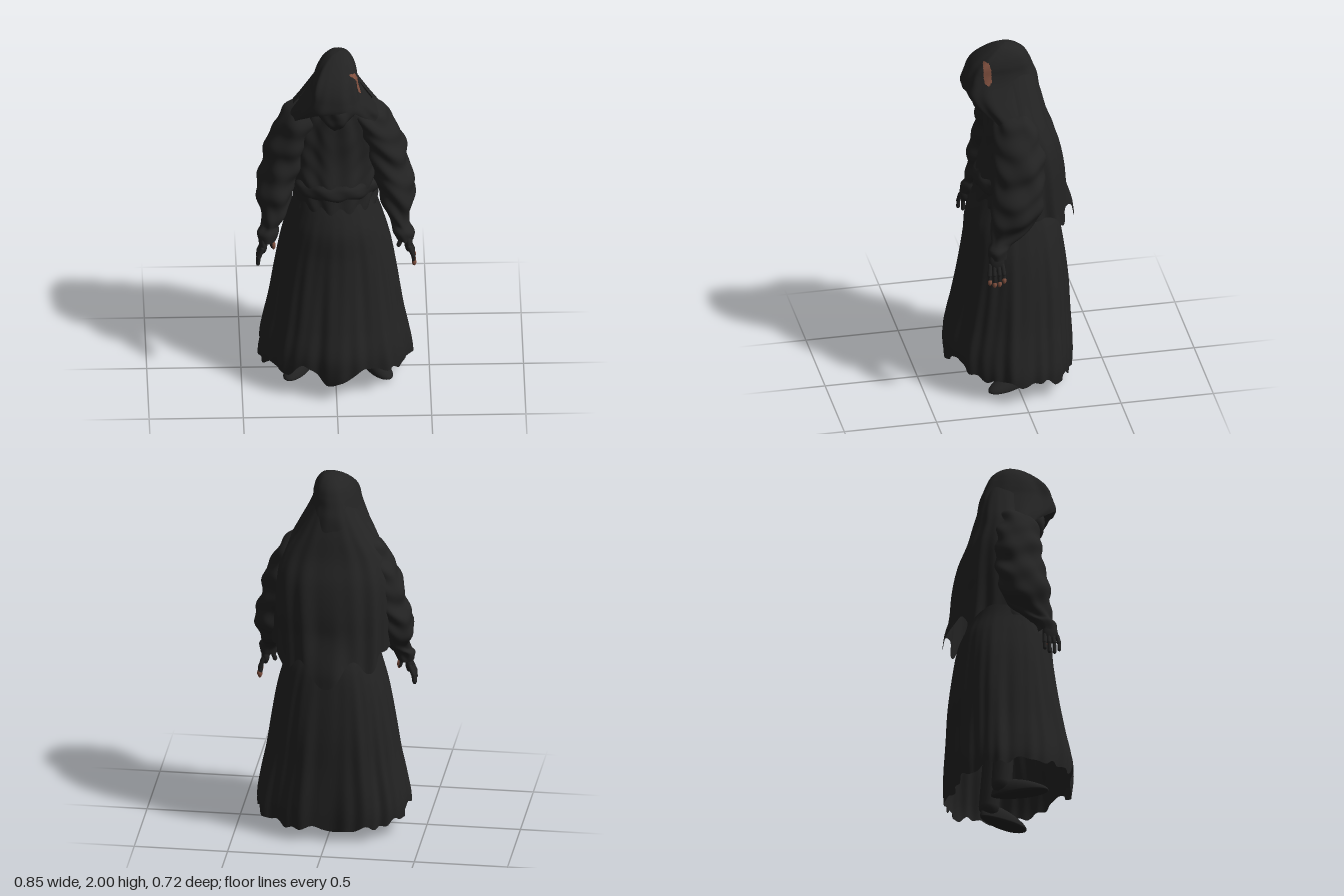
import * as THREE from 'three';

const { sin, cos, abs, sign, pow, exp, PI } = Math;
const { clamp, lerp, smoothstep } = THREE.MathUtils;
const gauss = (v, c, w) => exp(-(((v - c) / w) ** 2));

const cloth = new THREE.MeshStandardMaterial({ color: 0x232323, side: THREE.DoubleSide });
cloth.name = 'black cloth';
const skin = new THREE.MeshStandardMaterial({ color: 0x222222 });
skin.name = 'dark skin';
const rust = new THREE.MeshStandardMaterial({ color: 0x80503f, side: THREE.DoubleSide });
rust.name = 'rust brown';

// Cross-section at height y, smoothly interpolated. Section: [y, cx, cz, halfWidth, front, back]
function sectionAt(secs, y) {
  let i = 0;
  while (i < secs.length - 2 && y < secs[i + 1][0]) i++;
  const at = (k) => secs[clamp(k, 0, secs.length - 1)];
  const a = at(i - 1), b = at(i), c = at(i + 1), d = at(i + 2);
  const span = b[0] - c[0], u = clamp((b[0] - y) / span, 0, 1);
  const u2 = u * u, u3 = u2 * u;
  return b.map((_, k) => {
    const m0 = (c[k] - a[k]) / (a[0] - c[0]) * span, m1 = (d[k] - b[k]) / (b[0] - d[0]) * span;
    return (2 * u3 - 3 * u2 + 1) * b[k] + (u3 - 2 * u2 + u) * m0 + (3 * u2 - 2 * u3) * c[k] + (u3 - u2) * m1;
  });
}

// Cloth surface around the y axis; angle 0 faces the front. hem may vary with the angle,
// frontPower and backPower square off the outline, and faces where patch(x, y, z) holds are rust.
function drape(name, secs, o = {}) {
  const { n = 120, rows = 60, from = 0, to = 2 * PI, frontPower = 2, backPower = 2, side = 1 } = o;
  const { fold = () => 0, patch = () => false } = o;
  const top = secs[0][0], hem = o.hem ?? (() => secs[secs.length - 1][0]);
  const cols = to - from > 6.28 ? n : n + 1;
  const pos = [], plain = [], patched = [];
  for (let j = 0; j <= rows; j++) {
    for (let i = 0; i < cols; i++) {
      const a = from + (to - from) * i / n;
      const y = lerp(top, hem(a), j / rows);
      const [, cx, cz, rx, zf, zb] = sectionAt(secs, y);
      const s = sin(a), c = cos(a), f = fold(a, y), e = 2 / (c > 0 ? frontPower : backPower);
      pos.push(side * cx + sign(s) * pow(abs(s), e) * rx + s * f, y,
        cz + sign(c) * pow(abs(c), e) * (c > 0 ? zf : zb) + c * f);
    }
  }
  for (let j = 0; j < rows; j++) {
    for (let i = 0; i < n; i++) {
      const p = j * cols + i, q = j * cols + (i + 1) % cols;
      const list = patch(...pos.slice(p * 3, p * 3 + 3)) ? patched : plain;
      list.push(p, p + cols, q, q, p + cols, q + cols);
    }
  }
  const g = new THREE.BufferGeometry();
  g.setAttribute('position', new THREE.Float32BufferAttribute(pos, 3));
  g.setIndex([...plain, ...patched]);
  g.addGroup(0, plain.length, 0);
  if (patched.length) g.addGroup(plain.length, patched.length, 1);
  g.computeVertexNormals();
  const m = new THREE.Mesh(g, [cloth, rust]);
  m.name = name;
  return m;
}

// Rounded rod between two points
function rod(name, a, b, r, material) {
  const p = new THREE.Vector3(...a), q = new THREE.Vector3(...b);
  const m = new THREE.Mesh(new THREE.CapsuleGeometry(r, p.distanceTo(q), 4, 10), material);
  m.position.copy(p).add(q).multiplyScalar(0.5);
  m.quaternion.setFromUnitVectors(new THREE.Vector3(0, 1, 0), q.sub(p).normalize());
  m.name = name;
  return m;
}

function ball(name, pos, scale, material) {
  const m = new THREE.Mesh(new THREE.SphereGeometry(1, 20, 14), material);
  m.position.set(...pos);
  m.scale.set(...scale);
  m.name = name;
  return m;
}

const skirtSecs = [
  [1.14, 0, 0, 0.21, 0.17, 0.19], [1.05, 0, 0, 0.225, 0.21, 0.21], [0.95, 0, 0, 0.255, 0.24, 0.25],
  [0.8, 0, 0, 0.295, 0.25, 0.275], [0.6, 0, 0, 0.33, 0.278, 0.295], [0.4, 0, 0, 0.36, 0.318, 0.3],
  [0.25, 0, 0, 0.39, 0.352, 0.305], [0.15, 0, 0, 0.405, 0.35, 0.305], [0.06, 0, 0, 0.4, 0.335, 0.3]];
const torsoSecs = [
  [1.72, 0, 0, 0.1, 0.1, 0.12], [1.64, 0, 0, 0.18, 0.12, 0.15], [1.5, 0, -0.01, 0.25, 0.14, 0.18],
  [1.35, 0, -0.01, 0.26, 0.15, 0.2], [1.22, 0, -0.01, 0.245, 0.185, 0.21], [1.12, 0, 0, 0.225, 0.19, 0.2],
  [1.04, 0, 0, 0.22, 0.2, 0.2]];
const sashSecs = [
  [1.235, 0, -0.01, 0.23, 0.18, 0.19], [1.21, 0, -0.01, 0.245, 0.198, 0.21], [1.165, 0, -0.01, 0.24, 0.202, 0.21],
  [1.13, 0, -0.01, 0.215, 0.182, 0.19]];
const hoodSecs = [
  [2.0, 0.02, 0.03, 0.002, 0.002, 0.002], [1.99, 0.018, 0.03, 0.042, 0.045, 0.05], [1.95, 0.012, 0.045, 0.083, 0.095, 0.12],
  [1.9, 0.006, 0.07, 0.108, 0.125, 0.175], [1.85, 0, 0.085, 0.12, 0.145, 0.21], [1.8, 0, 0.09, 0.135, 0.16, 0.235],
  [1.74, 0, 0.08, 0.165, 0.18, 0.235], [1.68, 0, 0.06, 0.2, 0.165, 0.22], [1.62, 0, 0.03, 0.235, 0.14, 0.2],
  [1.54, 0, 0, 0.27, 0.13, 0.19]];
const faceWrapSecs = [
  [1.8, 0, 0.05, 0.06, 0.1, 0.08], [1.73, 0, 0.05, 0.1, 0.15, 0.1], [1.67, 0, 0.05, 0.115, 0.155, 0.1],
  [1.62, 0, 0.05, 0.08, 0.145, 0.1], [1.57, 0, 0.04, 0.04, 0.1, 0.08]];
const capeSecs = [
  [1.86, 0, 0.02, 0.09, 0.1, 0.13], [1.7, 0, 0, 0.19, 0.1, 0.162], [1.58, 0, -0.01, 0.27, 0.1, 0.182],
  [1.45, 0, -0.02, 0.31, 0.1, 0.22], [1.3, 0, -0.02, 0.318, 0.1, 0.25], [1.15, 0, -0.02, 0.315, 0.1, 0.262],
  [1.03, 0, -0.02, 0.31, 0.1, 0.275], [0.89, 0, -0.02, 0.31, 0.1, 0.295]];
const sleeveSecs = [
  [1.67, 0.14, -0.02, 0.05, 0.06, 0.05], [1.62, 0.17, -0.02, 0.1, 0.125, 0.08], [1.54, 0.2, -0.02, 0.11, 0.15, 0.1],
  [1.42, 0.252, -0.02, 0.115, 0.155, 0.115], [1.29, 0.278, -0.01, 0.11, 0.15, 0.12], [1.19, 0.315, 0.01, 0.105, 0.15, 0.125],
  [1.1, 0.326, 0.04, 0.092, 0.125, 0.13], [1.03, 0.33, 0.07, 0.068, 0.095, 0.11], [0.97, 0.345, 0.115, 0.046, 0.055, 0.07],
  [0.94, 0.36, 0.135, 0.056, 0.055, 0.055], [0.89, 0.368, 0.14, 0.045, 0.048, 0.045]];

export function createModel() {
  const model = new THREE.Group();
  model.name = 'hoodedFigure';

  // Robe skirt with deepening folds and a ragged hem
  model.add(drape('skirt', skirtSecs, {
    n: 200, rows: 50, frontPower: 2.05, backPower: 2.55,
    fold: (a, y) => (1.1 - y) * (0.009 * sin(9 * a + 1) + 0.005 * sin(17 * a + 2 + y * 2) + 0.004 * sin(29 * a - y * 3)),
    hem: (a) => 0.115 + 0.03 * cos(a) - 0.02 * gauss(a, PI, 1) - 0.05 * gauss(abs(a - PI), PI, 0.2)
      + 0.055 * gauss(abs(a - PI), PI - 0.42, 0.15) + 0.012 * sin(11 * a) + 0.008 * sin(23 * a + 1),
  }));

  // Tunic with slanting chest creases, and the gathered sash
  model.add(drape('tunic', torsoSecs, {
    n: 120, rows: 70,
    fold: (a, y) => 0.005 * sin(50 * (y - 0.3 * abs(sin(a))) + 2 * sin(3 * a)) * abs(sin(a)) + 0.005 * sin(13 * a + 3 * y),
  }));
  model.add(drape('sash', sashSecs, { rows: 14, fold: (a, y) => 0.004 * sin(10 * a + 40 * y) }));

  // Deep hood with a ridge over each temple and a rust patch behind the left one
  model.add(drape('hood', hoodSecs, {
    n: 180, rows: 100, frontPower: 2.6, backPower: 2.1,
    fold: (a, y) => (2 - y) * (0.012 * sin(6 * a + 1 + 6 * y) + 0.008 * sin(11 * a))
      + 0.018 * gauss(abs(a - PI), PI - 0.85, 0.22) * gauss(y, 1.86, 0.09),
    hem: (a) => {
      const d = PI - abs(a - PI);
      return 1.57 + 0.175 * (1 - smoothstep(d, 0.35, 1.3)) + 0.012 * sin(5 * a);
    },
    patch: (x, y, z) => x > 0 && ((z - 0.145) / 0.02) ** 2 + ((y - 1.87) / 0.062) ** 4 < 1,
  }));

  // Face wrap hanging to a point under the hood
  model.add(drape('faceWrap', faceWrapSecs, {
    n: 80, rows: 30, fold: (a, y) => 0.005 * sin(7 * a + 30 * y),
  }));

  // Back cape over the shoulders, with a long middle tail and a point at each corner
  model.add(drape('cape', capeSecs, {
    n: 120, rows: 60, from: 0.5 * PI, to: 1.5 * PI, backPower: 2.5,
    fold: (a, y) => (1.85 - y) * (0.008 * sin(11 * a + 2) + 0.007 * sin(17 * a + 3 * y))
      + 0.045 * gauss(a, PI, 0.24) * smoothstep(1.2 - y, 0, 0.25),
    hem: (a) => 1.055 - 0.155 * gauss(a, PI, 0.22) - 0.095 * gauss(abs(a - PI), 0.72, 0.22),
  }));

  for (const side of [1, -1]) {
    const prefix = side > 0 ? 'left' : 'right';

    // Baggy wrinkled sleeve
    model.add(drape(prefix + 'Sleeve', sleeveSecs, {
      n: 64, rows: 80, side,
      fold: (a, y) => (y > 0.96 ? 1 : 0.4)
        * (0.006 * sin(45 * y + side * 2.5 * sin(a) + 1.5 * sin(2 * a)) + 0.004 * sin(5 * a + 22 * y)),
    }));

    // Hand with four fingers and a thumb; some tips are rust
    const hand = new THREE.Group();
    hand.name = prefix + 'Hand';
    hand.add(ball('palm', [side * 0.385, 0.875, 0.15], [0.022, 0.06, 0.042], skin));
    [0.115, 0.14, 0.167, 0.193].forEach((z, i) => {
      const low = [0.775, 0.757, 0.755, 0.772][i], zm = 0.15 + (z - 0.15) * 0.85;
      hand.add(rod('finger', [side * 0.39, 0.86, zm], [side * 0.41, 0.81, z], 0.0115, skin));
      hand.add(rod('fingerEnd', [side * 0.41, 0.81, z], [side * 0.414, low, z], 0.01, skin));
      if (side > 0) hand.add(ball('fingertip', [0.415, low - 0.001, z], [0.0115, 0.02, 0.0115], rust));
    });
    hand.add(rod('thumb', [side * 0.36, 0.92, 0.14], [side * 0.334, 0.85, 0.145], 0.012, skin));
    if (side < 0) hand.add(ball('thumbTip', [-0.331, 0.858, 0.146], [0.0115, 0.025, 0.0125], rust));
    model.add(hand);

    // Leg and out-turned foot, flat underneath and lower at the toes
    const leg = rod(prefix + 'Leg', [side * 0.15, 0.08, -0.06], [side * 0.13, 0.5, -0.03], 0.055, skin);
    const g = new THREE.SphereGeometry(1, 28, 20), p = g.attributes.position;
    for (let i = 0; i < p.count; i++) {
      const x = p.getX(i), y = p.getY(i), z = p.getZ(i);
      p.setXYZ(i, x * (0.056 + 0.01 * z), 0.02 + y * (y > 0 ? 0.075 - 0.035 * z : 0.02), z * 0.158);
    }
    g.computeVertexNormals();
    const foot = new THREE.Mesh(g, skin);
    foot.name = prefix + 'Foot';
    foot.position.set(side > 0 ? 0.21 : -0.185, 0, 0.03);
    foot.rotation.y = side * 0.5;
    model.add(leg, foot);
  }
  return model;
}
